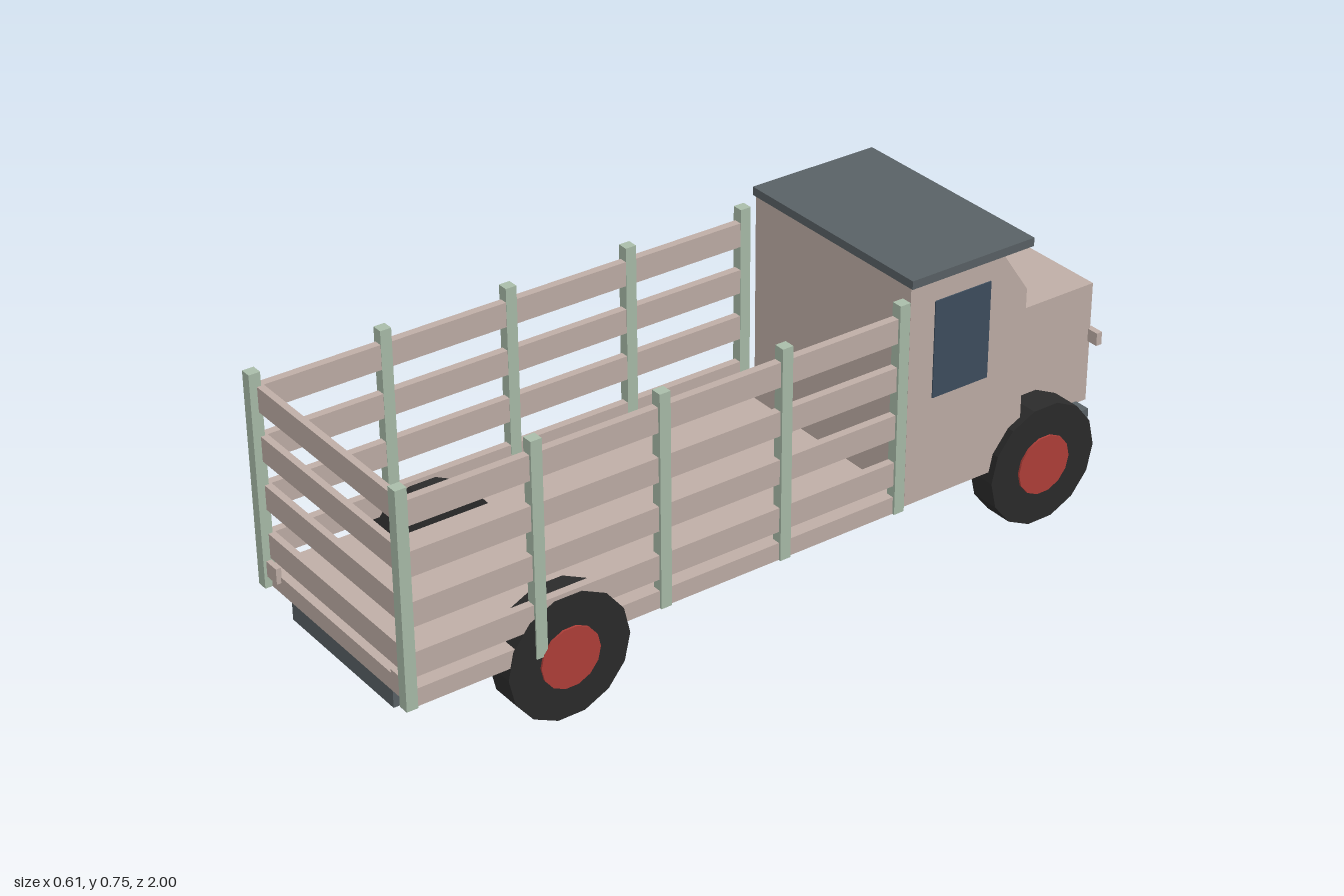
import * as THREE from 'three';

const paint = (name, color) => Object.assign(new THREE.MeshStandardMaterial({ color }), { name });

export function createModel() {
  const body = paint('beige body', 0xbfaea6);
  const green = paint('green posts', 0xa9bca9);
  const slate = paint('slate grey', 0x596165);
  const rubber = paint('black rubber', 0x2b2b2b);
  const red = paint('red hub', 0xb03f39);
  const glass = paint('dark blue glass', 0x3e4e5e);

  const truck = new THREE.Group();
  truck.name = 'stakeTruck';

  const add = (name, geometry, material, parent = truck) => {
    const mesh = new THREE.Mesh(geometry, material);
    mesh.name = name;
    parent.add(mesh);
    return mesh;
  };
  // Box given by its limits on each axis
  const box = (name, material, [x0, x1], [y0, y1], [z0, z1], parent) => {
    const mesh = add(name, new THREE.BoxGeometry(x1 - x0, y1 - y0, z1 - z0), material, parent);
    mesh.position.set((x0 + x1) / 2, (y0 + y1) / 2, (z0 + z1) / 2);
    return mesh;
  };
  // Same box on both sides of the truck
  const pair = (name, material, [x0, x1], y, z, parent) => {
    box(name + 'Left', material, [x0, x1], y, z, parent);
    box(name + 'Right', material, [-x1, -x0], y, z, parent);
  };

  // Chassis
  box('chassis', slate, [-0.206, 0.206], [0.128, 0.181], [-0.96, 0.975]);

  // Cab with slanted windscreen panel, extruded across the width
  const profile = new THREE.Shape([
    [0.335, 0.175], [0.675, 0.175], [0.675, 0.625], [0.6, 0.735], [0.335, 0.735],
  ].map(([s, y]) => new THREE.Vector2(s, y)));
  const cabGeometry = new THREE.ExtrudeGeometry(profile, { depth: 0.56, bevelEnabled: false });
  cabGeometry.rotateY(Math.PI / 2).translate(-0.28, 0, 0);
  add('cab', cabGeometry, body);
  box('roof', slate, [-0.288, 0.288], [0.734, 0.755], [-0.682, -0.332]);
  pair('sideWindow', glass, [0.278, 0.283], [0.435, 0.68], [-0.565, -0.405]);

  // Bonnet, grille panel and headlamps
  box('bonnet', body, [-0.163, 0.163], [0.176, 0.49], [-0.99, -0.67]);
  box('grillePanel', body, [-0.145, 0.145], [0.195, 0.455], [-0.993, -0.987]);
  pair('headlamp', body, [0.155, 0.194], [0.337, 0.37], [-1, -0.984]);

  // Load bed with slatted sides and tail
  const bed = new THREE.Group();
  bed.name = 'loadBed';
  truck.add(bed);
  box('bedFloor', body, [-0.296, 0.296], [0.181, 0.225], [-0.308, 0.982], bed);
  for (const y of [0.254, 0.376, 0.497, 0.618]) {
    pair('sideSlat', body, [0.276, 0.296], [y, y + 0.061], [-0.308, 0.982], bed);
    box('tailSlat', body, [-0.28, 0.28], [y, y + 0.061], [0.965, 0.982], bed);
  }
  for (let i = 0; i < 5; i++) {
    const z = 0.986 - i * 0.322;
    pair('post', green, [0.275, 0.302], [0.181, 0.713], [z - 0.014, z + 0.014], bed);
  }
  pair('tailLamp', body, [0.234, 0.276], [0.21, 0.249], [0.98, 0.993], bed);

  // Wheels: faceted tyres with a red hub on the outer side
  const tyre = new THREE.CylinderGeometry(0.156, 0.156, 0.075, 14).rotateZ(Math.PI / 2);
  const hub = new THREE.CylinderGeometry(0.076, 0.076, 0.012, 14).rotateZ(Math.PI / 2);
  rubber.flatShading = true;
  for (const z of [-0.737, 0.592]) {
    for (const side of [-1, 1]) {
      const wheel = new THREE.Group();
      wheel.name = (z < 0 ? 'cabWheel' : 'bedWheel') + (side > 0 ? 'Left' : 'Right');
      wheel.position.set(side * 0.2605, 0.1522, z);
      add('tyre', tyre, rubber, wheel);
      add('hub', hub, red, wheel).position.x = side * 0.0365;
      truck.add(wheel);
    }
  }
  return truck;
}
